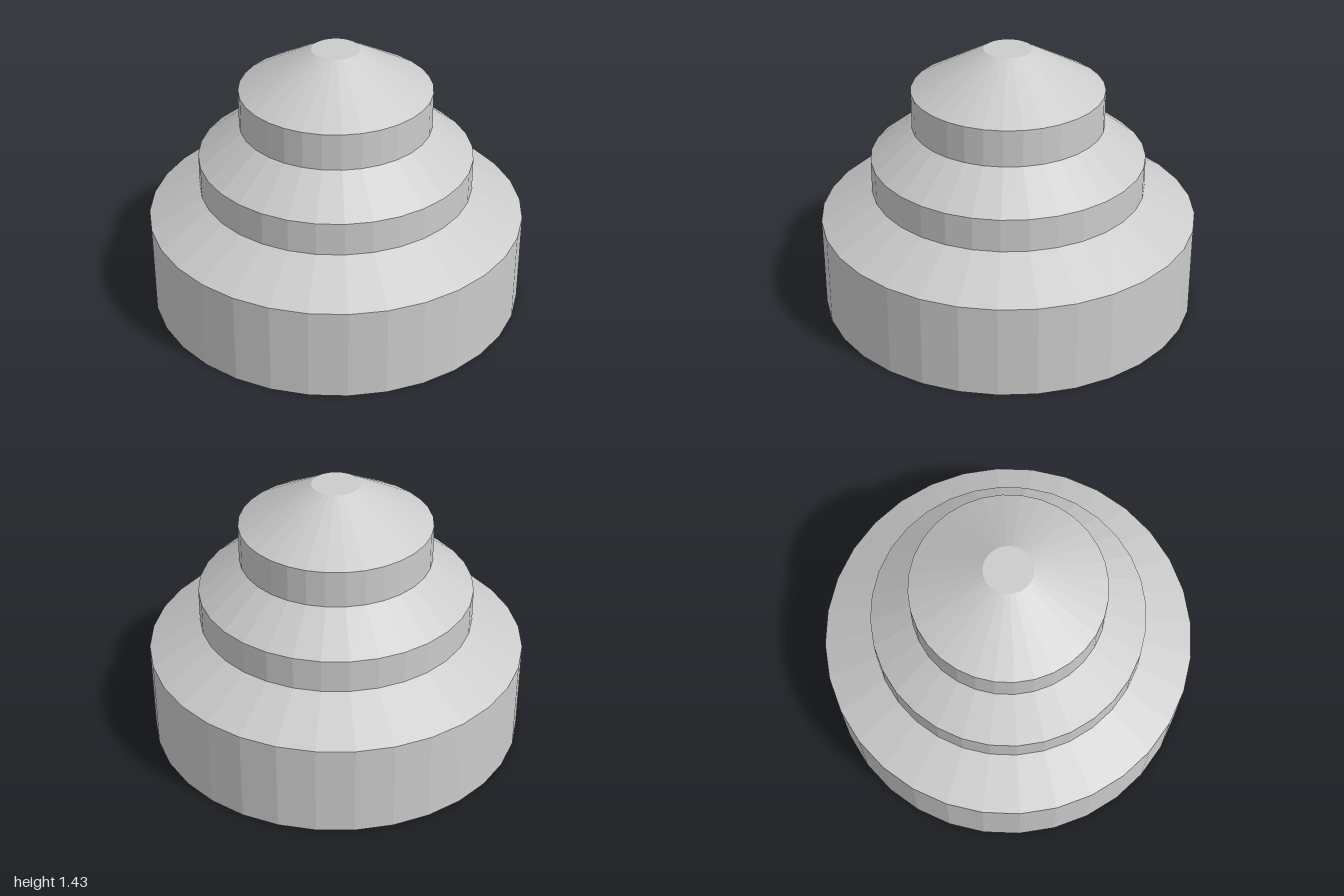
import * as THREE from 'three';

const SIDES = 32;

export function createModel() {
  const model = new THREE.Group();
  model.name = 'tieredDome';
  const material = new THREE.MeshStandardMaterial({ color: 0xcccccc, flatShading: true });

  // Each tier is a straight drum with a sloping roof:
  // name, drum radius, roof top radius, drum base, drum top, roof top
  const tiers = [
    ['lowerTier', 1, 0.725, 0, 0.5, 0.66],
    ['middleTier', 0.725, 0.505, 0.66, 0.838, 1.014],
    ['upperTier', 0.505, 0.126, 1.014, 1.212, 1.432],
  ];

  // Open band between two heights
  const addBand = (parent, name, bottomRadius, topRadius, y0, y1) => {
    const band = new THREE.Mesh(
      new THREE.CylinderGeometry(topRadius, bottomRadius, y1 - y0, SIDES, 1, true), material);
    band.name = name;
    band.position.y = (y0 + y1) / 2;
    parent.add(band);
  };

  for (const [name, radius, roofRadius, base, eave, top] of tiers) {
    const tier = new THREE.Group();
    tier.name = name;
    addBand(tier, 'drum', radius, radius, base, eave);
    addBand(tier, 'roof', radius, roofRadius, eave, top);
    model.add(tier);
  }

  // Flat discs closing the top and the underside
  const addDisc = (name, radius, y, tilt) => {
    const disc = new THREE.Mesh(new THREE.CircleGeometry(radius, SIDES), material);
    disc.name = name;
    disc.rotation.x = tilt;
    disc.position.y = y;
    model.add(disc);
  };
  addDisc('topCap', 0.126, 1.432, -Math.PI / 2);
  addDisc('baseCap', 1, 0, Math.PI / 2);

  return model;
}
